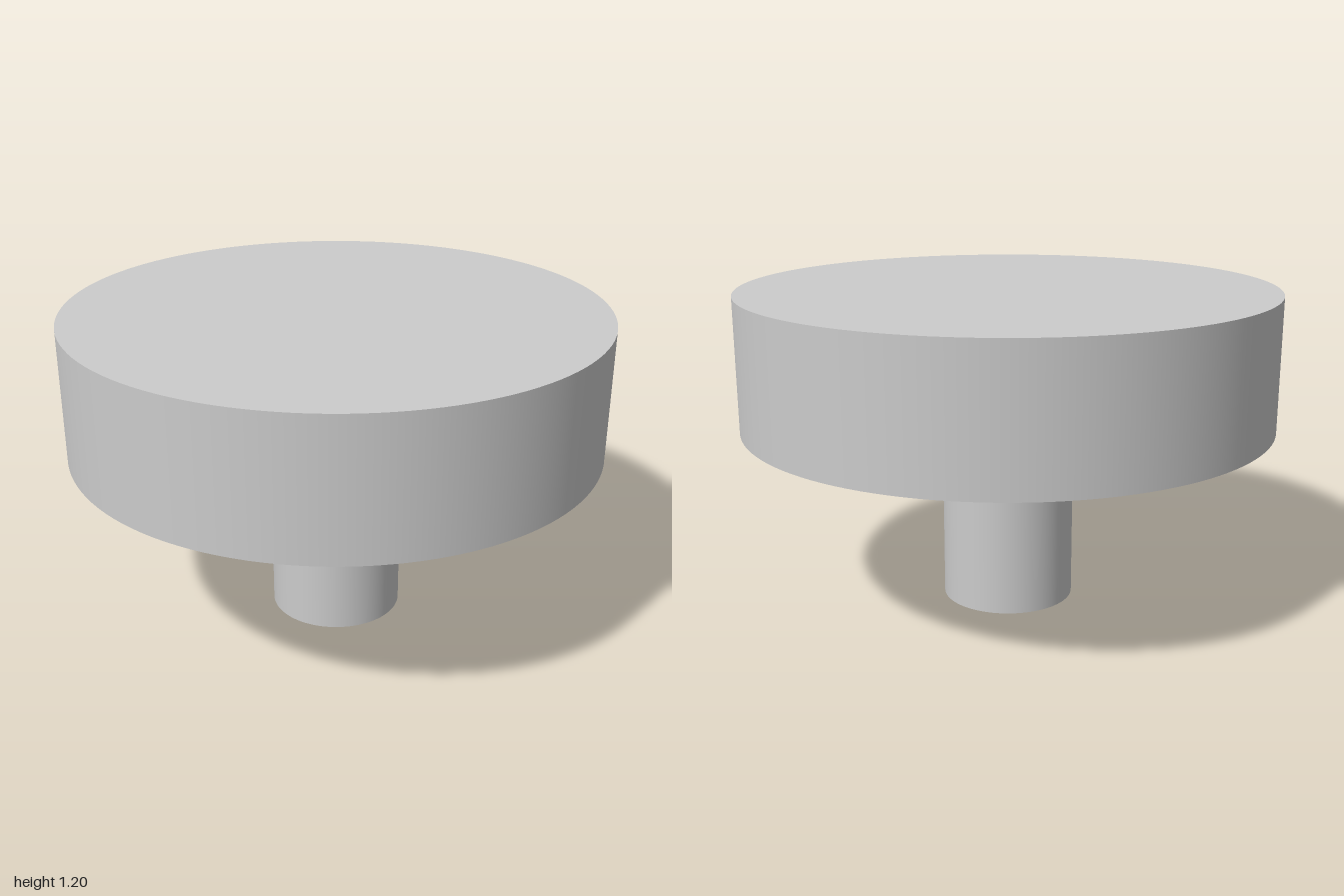
import * as THREE from 'three';

const material = new THREE.MeshStandardMaterial({ color: 0xcccccc });

// Upright smooth cylinder spanning y0 to y1
function disc(name, radius, y0, y1) {
  const mesh = new THREE.Mesh(new THREE.CylinderGeometry(radius, radius, y1 - y0, 128), material);
  mesh.name = name;
  mesh.position.y = (y0 + y1) / 2;
  return mesh;
}

export function createModel() {
  const model = new THREE.Group();
  model.name = 'knob';
  model.add(
    disc('stem', 0.25, 0, 0.7), // narrow shaft
    disc('head', 1, 0.7, 1.2)   // wide round top
  );
  return model;
}
